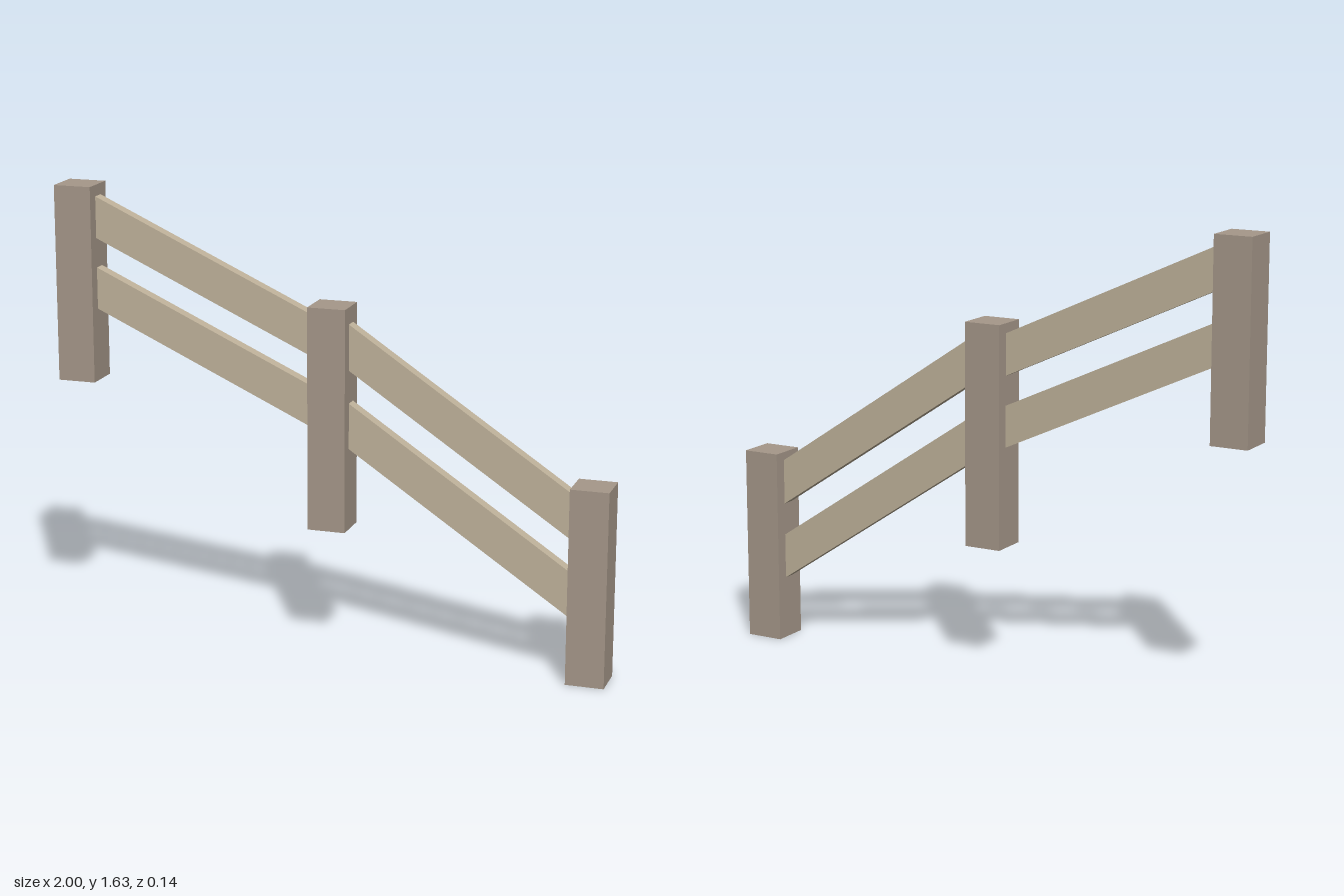
import * as THREE from 'three';

const POST = 0.136, RAIL = 0.046;

export function createModel() {
  const fence = new THREE.Group();
  fence.name = 'slopedFence';
  const postMaterial = new THREE.MeshStandardMaterial({ color: 0xa6988a, flatShading: true });
  const railMaterial = new THREE.MeshStandardMaterial({ color: 0xc0b39b, flatShading: true });

  // Square posts stepping down the slope: x, bottom, top
  const posts = [
    ['rightPost', -0.932, 0.93, 1.63],
    ['middlePost', 0, 0.465, 1.26],
    ['leftPost', 0.932, 0, 0.7],
  ];
  for (const [name, x, bottom, top] of posts) {
    const post = new THREE.Mesh(new THREE.BoxGeometry(POST, top - bottom, POST), postMaterial);
    post.name = name;
    post.position.set(x, (bottom + top) / 2, 0);
    fence.add(post);
  }

  // Slanted rails with upright ends: x and top height at each end, vertical depth
  const rails = [
    ['rightUpperRail', -0.864, 1.59, -0.068, 1.225, 0.148],
    ['rightLowerRail', -0.864, 1.337, -0.068, 0.972, 0.148],
    ['leftUpperRail', 0.068, 1.2, 0.864, 0.67, 0.163],
    ['leftLowerRail', 0.068, 0.92, 0.864, 0.39, 0.163],
  ];
  for (const [name, x0, y0, x1, y1, depth] of rails) {
    const side = new THREE.Shape([
      new THREE.Vector2(x0, y0 - depth),
      new THREE.Vector2(x1, y1 - depth),
      new THREE.Vector2(x1, y1),
      new THREE.Vector2(x0, y0),
    ]);
    const geometry = new THREE.ExtrudeGeometry(side, { depth: RAIL, bevelEnabled: false });
    geometry.translate(0, 0, -RAIL / 2);
    const rail = new THREE.Mesh(geometry, railMaterial);
    rail.name = name;
    fence.add(rail);
  }
  return fence;
}
